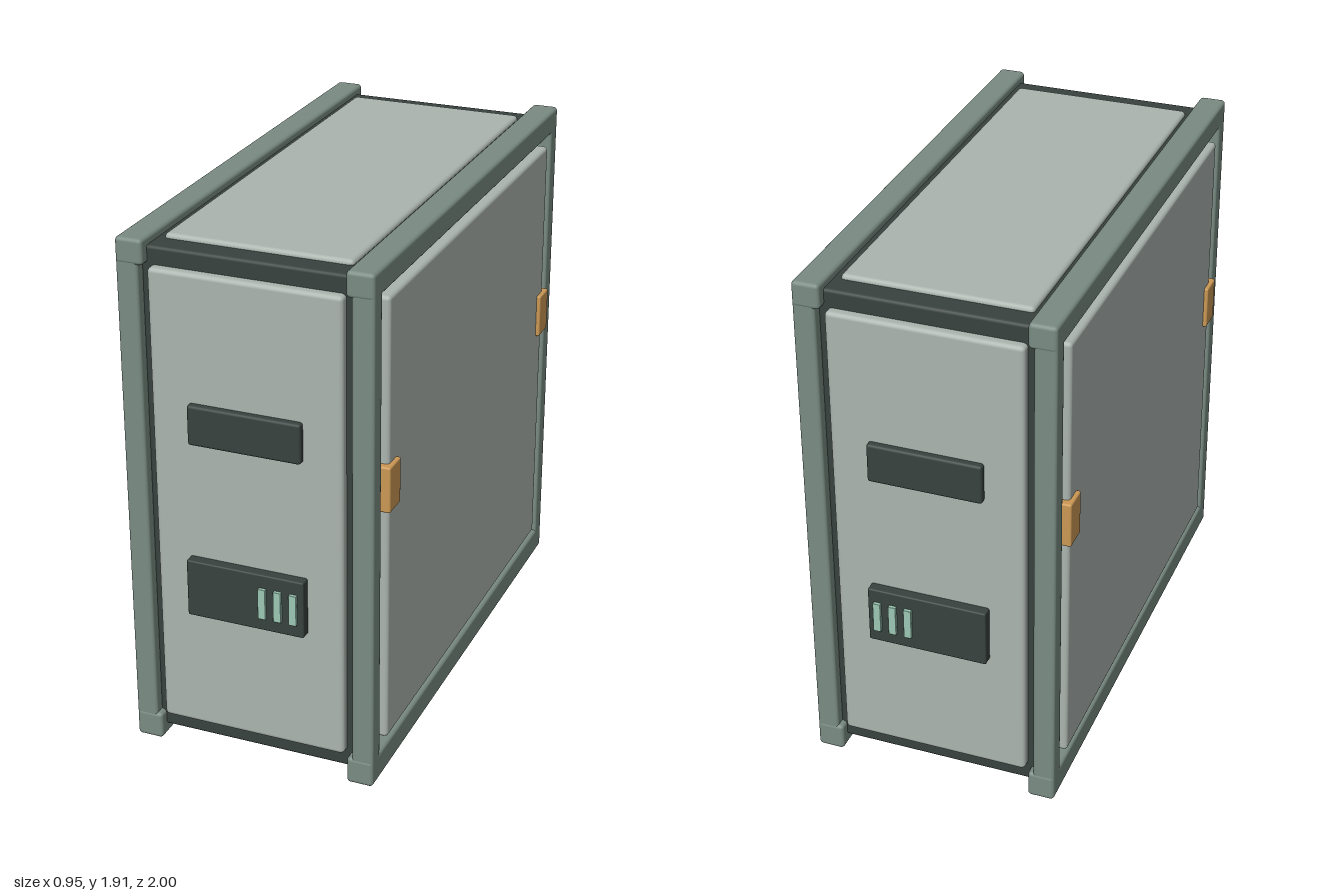
import * as THREE from 'three';
import { RoundedBoxGeometry } from 'three/addons/geometries/RoundedBoxGeometry.js';

const mat = (color) => new THREE.MeshStandardMaterial({ color });

export function createModel() {
  const model = new THREE.Group();
  const frameMat = mat(0x7a8c84), panelMat = mat(0xacb5b0), darkMat = mat(0x38423f);
  const latchMat = mat(0xcc9955), lightMat = mat(0x9cc8b4);

  // Softly bevelled box given by its lower and upper limits
  function box(name, material, [x0, x1], [y0, y1], [z0, z1], bevel, parent = model) {
    const geometry = new RoundedBoxGeometry(x1 - x0, y1 - y0, z1 - z0, 2, bevel);
    const mesh = new THREE.Mesh(geometry, material);
    mesh.name = name;
    mesh.position.set((x0 + x1) / 2, (y0 + y1) / 2, (z0 + z1) / 2);
    parent.add(mesh);
    return mesh;
  }
  // Range along an axis, placed on the positive or negative side
  const side = (s, a, b) => (s > 0 ? [a, b] : [-b, -a]);

  // Dark inner body and top cover
  box('core', darkMat, [-0.38, 0.38], [0.04, 1.88], [-0.915, 0.915], 0.012);
  box('topPanel', panelMat, [-0.335, 0.335], [1.85, 1.897], [-0.833, 0.833], 0.015);

  for (const s of [1, -1]) {
    const label = s > 0 ? 'left' : 'right';

    // Rectangular side frame: two long rails and two narrower posts
    const frame = new THREE.Group();
    frame.name = label + 'Frame';
    model.add(frame);
    box('bottomRail', frameMat, side(s, 0.357, 0.455), [0, 0.102], [-0.955, 0.955], 0.014, frame);
    box('topRail', frameMat, side(s, 0.357, 0.455), [1.818, 1.91], [-0.955, 0.955], 0.014, frame);
    for (const e of [1, -1])
      box('post', frameMat, side(s, 0.376, 0.455), [0.04, 1.87], side(e, 0.88, 0.953), 0.012, frame);

    // Side cover and its two latches
    box(label + 'Panel', panelMat, side(s, 0.36, 0.46), [0.13, 1.79], [-0.83, 0.83], 0.015);
    for (const e of [1, -1])
      box(label + 'Latch', latchMat, side(s, 0.43, 0.475), [1.03, 1.198], side(e, 0.757, 0.856), 0.007);
  }

  // Front and back covers with handle plate, display and indicator lights
  for (const s of [1, -1]) {
    const end = new THREE.Group();
    end.name = s > 0 ? 'frontEnd' : 'backEnd';
    model.add(end);
    box('endPanel', panelMat, [-0.345, 0.345], [0.105, 1.816], side(s, 0.88, 0.95), 0.016, end);
    box('handlePlate', darkMat, [-0.205, 0.205], [1.212, 1.358], side(s, 0.93, 0.975), 0.01, end);
    box('display', darkMat, [-0.218, 0.216], [0.566, 0.78], side(s, 0.93, 0.988), 0.006, end);
    for (let i = 0; i < 3; i++) {
      const x = 0.052 + i * 0.057;
      box('indicatorLight', lightMat, [x, x + 0.028], [0.615, 0.73], side(s, 0.97, 1), 0.002, end);
    }
  }
  return model;
}
